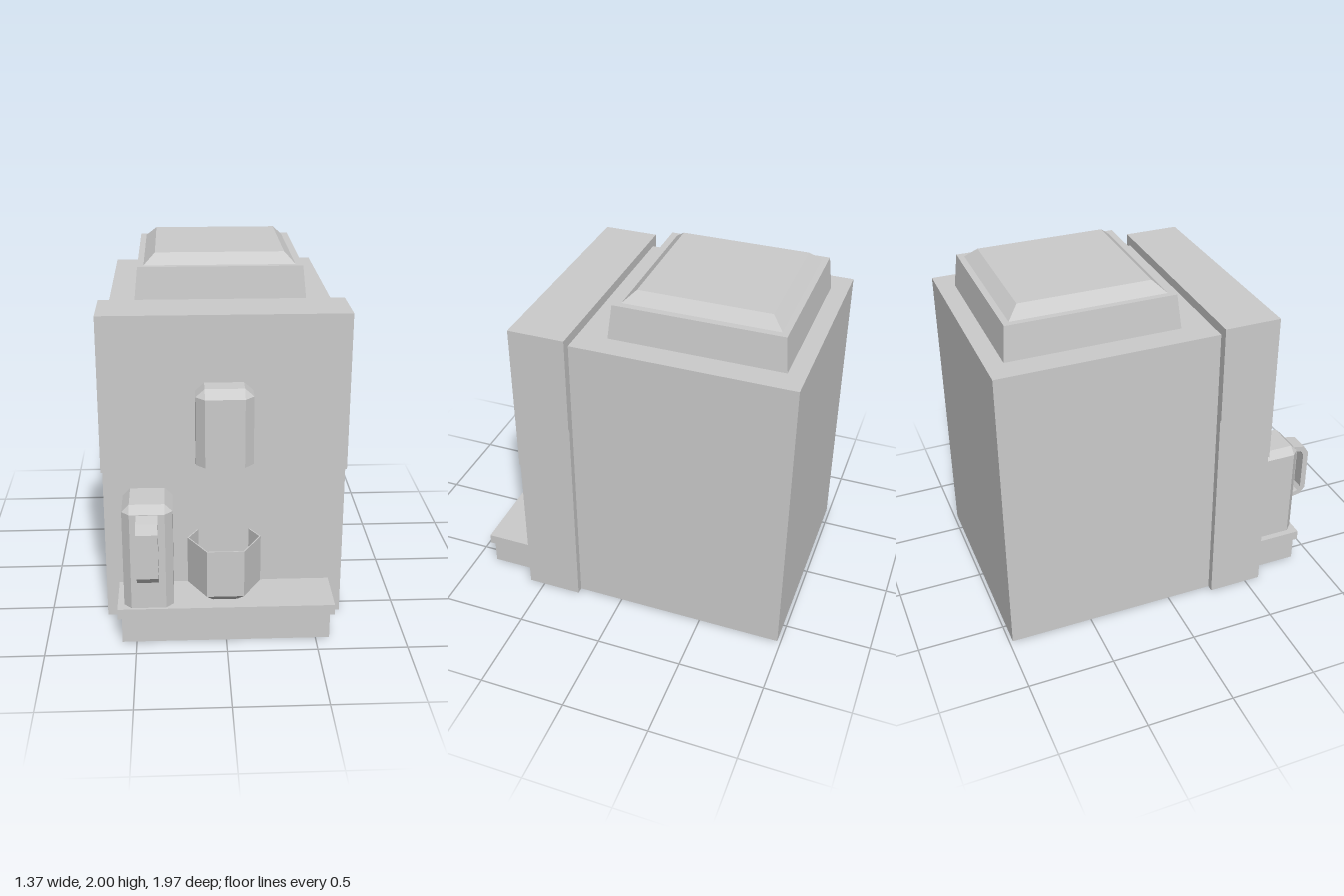
import * as THREE from 'three';
import { ConvexGeometry } from 'three/addons/geometries/ConvexGeometry.js';

const material = new THREE.MeshStandardMaterial({ color: 0xcccccc, flatShading: true });
const openMaterial = new THREE.MeshStandardMaterial({ color: 0xcccccc, flatShading: true, side: THREE.DoubleSide });

export function createModel() {
  const model = new THREE.Group();
  model.name = 'coffeeMachine';

  const add = (name, geometry, mat = material) => {
    const mesh = new THREE.Mesh(geometry, mat);
    mesh.name = name;
    model.add(mesh);
    return mesh;
  };

  // Box given by its limits on each axis
  const box = (name, x0, x1, y0, y1, z0, z1) =>
    add(name, new THREE.BoxGeometry(x1 - x0, y1 - y0, z1 - z0))
      .position.set((x0 + x1) / 2, (y0 + y1) / 2, (z0 + z1) / 2);

  // Rectangle of corner points at height y
  const rect = (x0, x1, y, z0, z1) =>
    [[x0, z0], [x1, z0], [x1, z1], [x0, z1]].map(([x, z]) => new THREE.Vector3(x, y, z));

  // Box with chamfered upright edges and a chamfered top
  const chamferedBlock = (name, x0, x1, y0, y1, z0, z1, inset, topDrop) => {
    const points = rect(x0 + inset, x1 - inset, y1, z0 + inset, z1 - inset);
    for (const y of [y0, y1 - topDrop]) {
      points.push(...rect(x0 + inset, x1 - inset, y, z0, z1));
      points.push(...rect(x0, x1, y, z0 + inset, z1 - inset));
    }
    add(name, new ConvexGeometry(points));
  };

  // Side profile in (z, y), extruded across x and centred on cx
  const sideProfile = (name, outline, width, cx = 0, hole = null) => {
    const toPoints = (list) => list.map(([z, y]) => new THREE.Vector2(-z, y));
    const shape = new THREE.Shape(toPoints(outline));
    if (hole) shape.holes.push(new THREE.Path(toPoints(hole)));
    const geometry = new THREE.ExtrudeGeometry(shape, { depth: width, bevelEnabled: false });
    geometry.translate(0, 0, -width / 2).rotateY(Math.PI / 2).translate(cx, 0, 0);
    add(name, geometry);
  };

  // Main housing and front column, with a slanted seam on its sides
  box('housing', -0.635, 0.635, 0, 1.745, -0.98, 0.28);
  sideProfile('frontLower', [[0.27, 0], [0.593, 0], [0.593, 0.905], [0.27, 1.23]], 1.35);
  sideProfile('frontUpper', [[0.27, 1.23], [0.595, 0.905], [0.595, 1.8], [0.27, 1.8]], 1.37);
  box('splashPanel', -0.235, 0.232, 0.2, 0.905, 0.55, 0.595);

  // Hopper and its lid
  add('hopper', new ConvexGeometry([
    ...rect(-0.49, 0.49, 1.745, -0.88, 0.105),
    ...rect(-0.47, 0.47, 1.94, -0.86, 0.085),
  ]));
  add('hopperLid', new ConvexGeometry([
    ...rect(-0.435, 0.43, 1.94, -0.825, 0.045),
    ...rect(-0.37, 0.37, 2, -0.76, -0.02),
  ]));

  // Coffee outlet
  chamferedBlock('spout', -0.16, 0.155, 0.99, 1.425, 0.44, 0.75, 0.05, 0.045);

  // Drip tray
  box('trayBase', -0.58, 0.578, 0, 0.155, 0.55, 0.88);
  box('trayTop', -0.602, 0.602, 0.155, 0.215, 0.55, 0.895);

  // Milk jug with a closed loop handle
  chamferedBlock('jug', -0.565, -0.29, 0.215, 0.825, 0.588, 0.88, 0.042, 0.042);
  sideProfile('jugHandle',
    [[0.875, 0.78], [0.955, 0.765], [0.987, 0.715], [0.987, 0.455], [0.955, 0.415], [0.875, 0.4]],
    0.117, -0.428,
    [[0.907, 0.742], [0.935, 0.735], [0.953, 0.705], [0.953, 0.47], [0.935, 0.445], [0.907, 0.437]]);

  // Six-sided open cup with a thin wall
  const cupProfile = [
    [0, 0.216], [0.135, 0.216], [0.205, 0.268], [0.205, 0.545],
    [0.197, 0.545], [0.197, 0.272], [0.132, 0.224], [0, 0.224],
  ].map(([r, y]) => new THREE.Vector2(r, y));
  add('cup', new THREE.LatheGeometry(cupProfile, 6, Math.PI / 6), openMaterial)
    .position.set(-0.005, 0, 0.69);

  return model;
}
